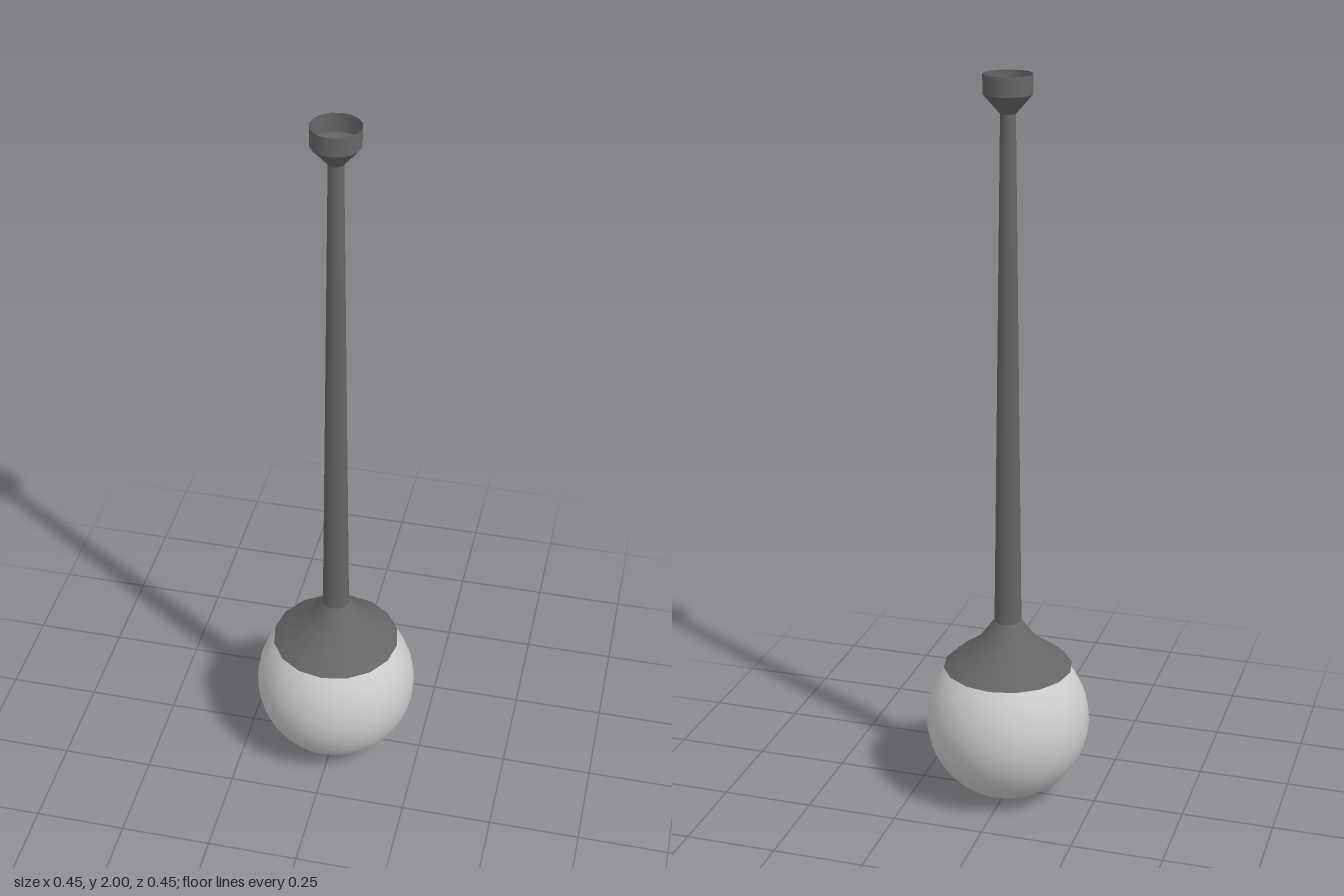
import * as THREE from 'three';

export function createModel() {
  const lamp = new THREE.Group();
  lamp.name = 'pendantLamp';
  const metal = new THREE.MeshStandardMaterial({ color: 0x666666, side: THREE.DoubleSide });
  const glass = new THREE.MeshStandardMaterial({ color: 0xcccccc });

  // Open, hollow 16-sided turned section from [radius, height] pairs
  function turned(name, profile) {
    const points = profile.map(([r, y]) => new THREE.Vector2(r, y));
    const mesh = new THREE.Mesh(new THREE.LatheGeometry(points, 16), metal);
    mesh.name = name;
    lamp.add(mesh);
  }

  // Glass globe
  const globe = new THREE.Mesh(new THREE.SphereGeometry(0.225, 32, 24), glass);
  globe.name = 'globe';
  globe.position.y = 0.225;
  lamp.add(globe);

  // Flared cap holding the globe
  turned('globeCap', [[0.177, 0.385], [0.145, 0.413], [0.086, 0.455], [0.06, 0.488], [0.037, 0.52]]);

  // Long tapering hollow stem
  turned('stem', [[0.037, 0.52], [0.02, 1.9]]);

  // Ceiling mount: cone and collar, open at the top
  turned('mountCone', [[0.02, 1.9], [0.064, 1.95]]);
  turned('mountCollar', [[0.064, 1.95], [0.064, 2]]);

  return lamp;
}
